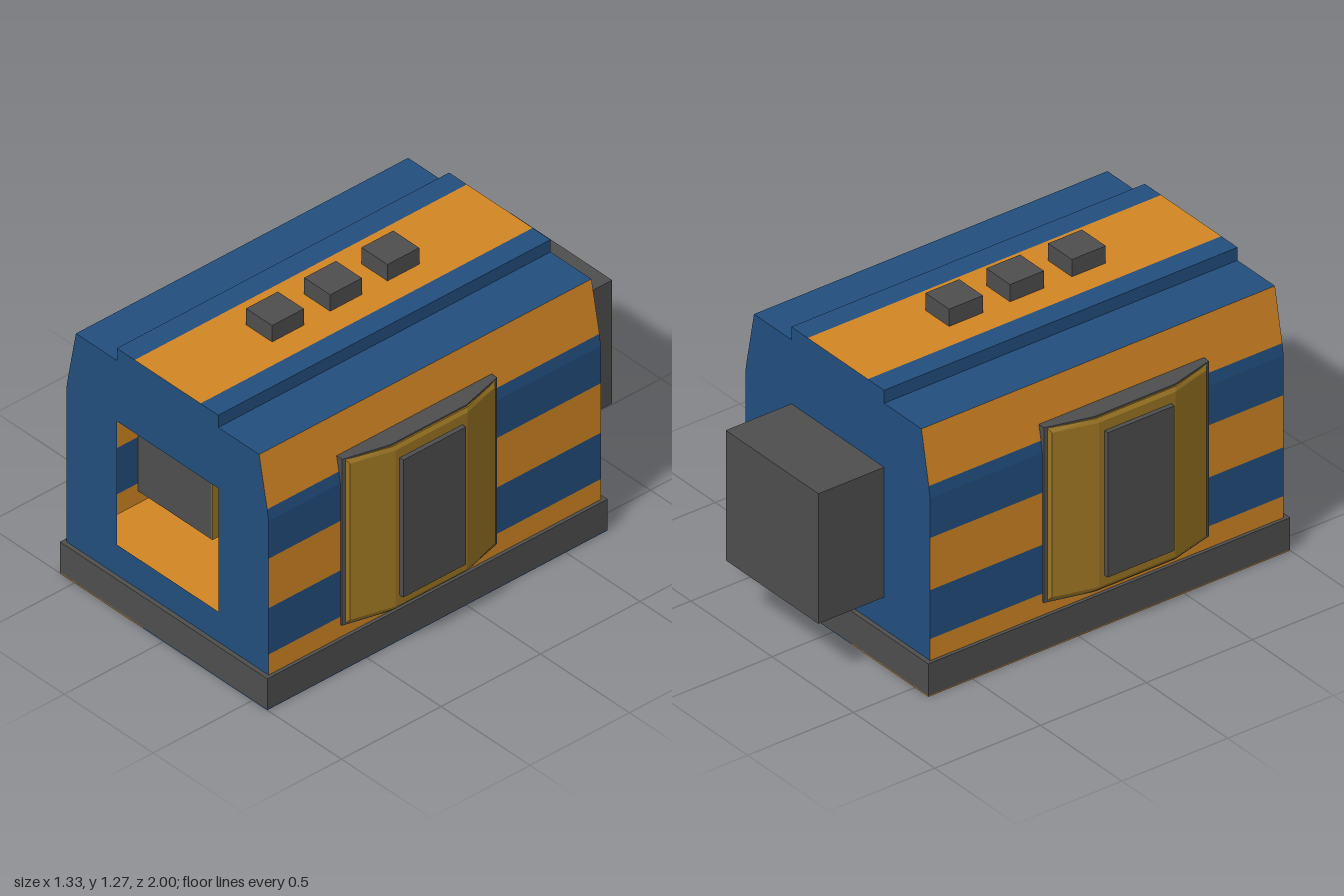
import * as THREE from 'three';
import { ConvexGeometry } from 'three/addons/geometries/ConvexGeometry.js';

const material = (name, color, side = THREE.FrontSide) => {
  const m = new THREE.MeshStandardMaterial({ color, side });
  m.name = name;
  return m;
};

export function createModel() {
  const model = new THREE.Group();
  model.name = 'stripedHousing';
  const grey = material('dark grey', 0x4e4e4e);
  const blue = material('blue', 0x224e7e, THREE.DoubleSide);
  const orange = material('orange', 0xd28524, THREE.DoubleSide);
  const gold = material('gold', 0x9c7623);

  const add = (name, geometry, mat, parent = model) => {
    const mesh = new THREE.Mesh(geometry, mat);
    mesh.name = name;
    parent.add(mesh);
    return mesh;
  };
  // Box given by its limits on each axis
  const box = (name, [x0, x1], [y0, y1], [z0, z1], mat, parent) => {
    const g = new THREE.BoxGeometry(x1 - x0, y1 - y0, z1 - z0);
    g.translate((x0 + x1) / 2, (y0 + y1) / 2, (z0 + z1) / 2);
    return add(name, g, mat, parent);
  };

  // Base slab with a two-colour underside and a coloured floor
  box('base', [-0.583, 0.583], [0.004, 0.145], [-0.71, 1], grey);
  box('undersideBlue', [-0.115, 0.583], [0, 0.004], [-0.71, 1], blue);
  box('undersideOrange', [-0.583, -0.115], [0, 0.004], [-0.71, 1], orange);
  box('floor', [-0.565, 0.565], [0.145, 0.149], [-0.685, 0.975], orange);

  // Hull shell: half profile from the base up, with the colour of each segment
  const back = -0.69, front = 0.98;
  const half = [
    [0.568, 0.145, orange], [0.568, 0.24, blue], [0.568, 0.455, orange],
    [0.568, 0.685, blue], [0.568, 0.86, blue], [0.56, 0.91, orange],
    [0.515, 1.14, blue], [0.285, 1.14, blue], [0.285, 1.197, blue], [0.185, 1.197, orange],
  ];
  const segments = [];
  half.forEach(([x, y, mat], i) => {
    const next = half[i + 1] ?? [-x, y];
    segments.push([x, y, next[0], next[1], mat]);
    if (half[i + 1]) segments.push([-next[0], next[1], -x, y, mat]);
  });
  for (const mat of [blue, orange]) {
    const p = [];
    for (const [ax, ay, bx, by, m] of segments) {
      if (m !== mat) continue;
      p.push(ax, ay, front, ax, ay, back, bx, by, back);
      p.push(ax, ay, front, bx, by, back, bx, by, front);
    }
    const g = new THREE.BufferGeometry();
    g.setAttribute('position', new THREE.Float32BufferAttribute(p, 3));
    g.computeVertexNormals();
    add(mat === blue ? 'hullBlueStripes' : 'hullOrangeStripes', g, mat);
  }

  // End walls; the front one has a square opening
  const outline = [
    ...half.map(([x, y]) => new THREE.Vector2(x, y)),
    ...half.map(([x, y]) => new THREE.Vector2(-x, y)).reverse(),
  ];
  const frontShape = new THREE.Shape(outline);
  frontShape.holes.push(new THREE.Path([
    new THREE.Vector2(-0.285, 0.285), new THREE.Vector2(-0.285, 0.858),
    new THREE.Vector2(0.285, 0.858), new THREE.Vector2(0.285, 0.285),
  ]));
  add('frontWall', new THREE.ShapeGeometry(frontShape), blue).position.z = front;
  const backWall = add('backWall', new THREE.ShapeGeometry(new THREE.Shape(outline)), blue);
  backWall.rotation.y = Math.PI;
  backWall.position.z = back;

  // Rear block and roof vents
  box('rearBlock', [-0.285, 0.285], [0.285, 0.858], [-1, -0.67], grey);
  for (const z of [-0.14, 0.148, 0.44]) {
    box('roofVent', [-0.073, 0.073], [1.197, 1.273], [z - 0.08, z + 0.08], grey);
  }

  // Side hatches: deep grey casing, bowed gold panel, grey window
  const zMid = 0.23;
  for (const s of [1, -1]) {
    const hatch = new THREE.Group();
    hatch.name = s > 0 ? 'leftHatch' : 'rightHatch';
    model.add(hatch);
    const symmetric = (list) => {
      const pts = [];
      for (const [x, dy, dz] of list) {
        for (const v of [1, -1]) for (const w of [1, -1]) {
          pts.push(new THREE.Vector3(s * x, 0.59 + v * dy, zMid + w * dz));
        }
      }
      return new ConvexGeometry(pts);
    };
    add('casing', symmetric([
      [0.155, 0.386, 0.39], [0.578, 0.386, 0.39], [0.63, 0.386, 0.19],
    ]), grey, hatch);
    add('panel', symmetric([
      [0.56, 0.379, 0.375], [0.582, 0.379, 0.375], [0.636, 0.379, 0.19],
      [0.595, 0.362, 0.365], [0.645, 0.362, 0.18],
    ]), gold, hatch);
    const span = (a, b) => (s > 0 ? [a, b] : [-b, -a]);
    box('window', span(0.64, 0.665), [0.27, 0.908], [0.075, 0.39], grey, hatch);
    box('innerLining', span(0.15, 0.155), [0.204, 0.976], [-0.16, 0.62], gold, hatch);
  }
  return model;
}
